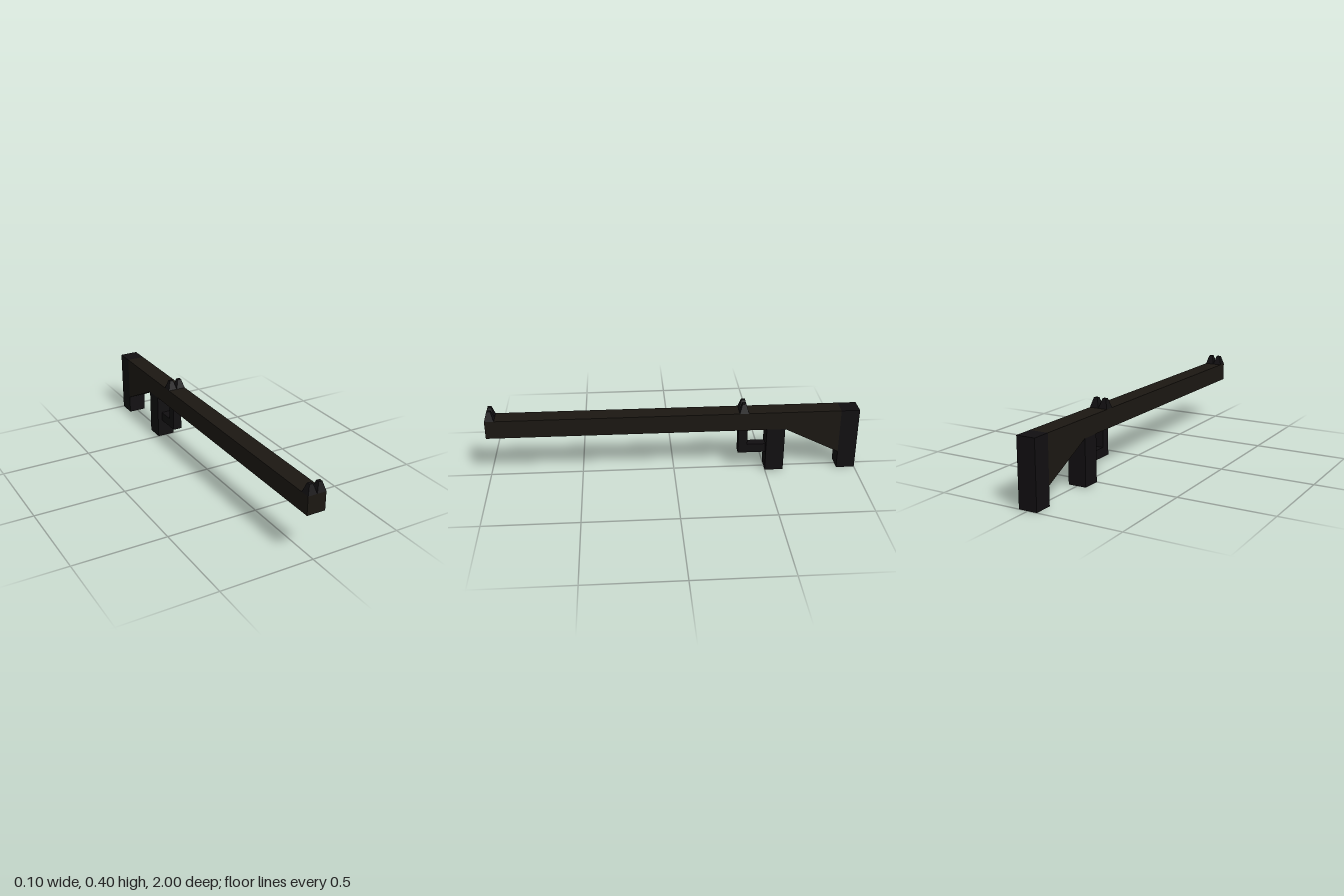
import * as THREE from 'three';

export function createModel() {
  const group = new THREE.Group();
  const brown = new THREE.MeshStandardMaterial({ color: 0x1b1712, flatShading: true });
  const black = new THREE.MeshStandardMaterial({ color: 0x110f11, flatShading: true });

  function add(name, geometry, material) {
    const mesh = new THREE.Mesh(geometry, material);
    mesh.name = name;
    group.add(mesh);
    return mesh;
  }

  // Side outline given as [z, y] points, extruded across x and centred
  function addProfile(name, points, width, material) {
    const shape = new THREE.Shape(points.map(([z, y]) => new THREE.Vector2(z, y)));
    const geometry = new THREE.ExtrudeGeometry(shape, { depth: width, bevelEnabled: false });
    geometry.translate(0, 0, -width / 2).rotateY(-Math.PI / 2);
    return add(name, geometry, material);
  }

  function addBlock(name, width, y0, y1, z0, z1) {
    const geometry = new THREE.BoxGeometry(width, y1 - y0, z1 - z0);
    return add(name, geometry.translate(0, (y0 + y1) / 2, (z0 + z1) / 2), black);
  }

  // Long square barrel running into the sloped stock
  addProfile('barrelAndStock', [
    [1, 0.25], [1, 0.35], [-0.9, 0.35], [-0.9, 0.1], [-0.6, 0.25],
  ], 0.1, brown);

  // Butt plate and grip
  addBlock('butt', 0.1, 0, 0.35, -1, -0.9);
  addBlock('grip', 0.1, 0, 0.25, -0.6, -0.5);

  // Narrow L-shaped guard ahead of the grip
  addProfile('guard', [
    [-0.35, 0.25], [-0.4, 0.25], [-0.4, 0.15], [-0.5, 0.15], [-0.5, 0.1], [-0.35, 0.1],
  ], 0.05, black);

  // Paired tapered sight posts
  for (const [name, z] of [['frontSight', 0.975], ['rearSight', -0.375]]) {
    for (const [side, x] of [['Left', 0.025], ['Right', -0.025]]) {
      const geometry = new THREE.CylinderGeometry(0.02 / Math.SQRT2, 0.05 / Math.SQRT2, 0.05, 4);
      geometry.rotateY(Math.PI / 4);
      add(name + side, geometry, black).position.set(x, 0.375, z);
    }
  }

  return group;
}
